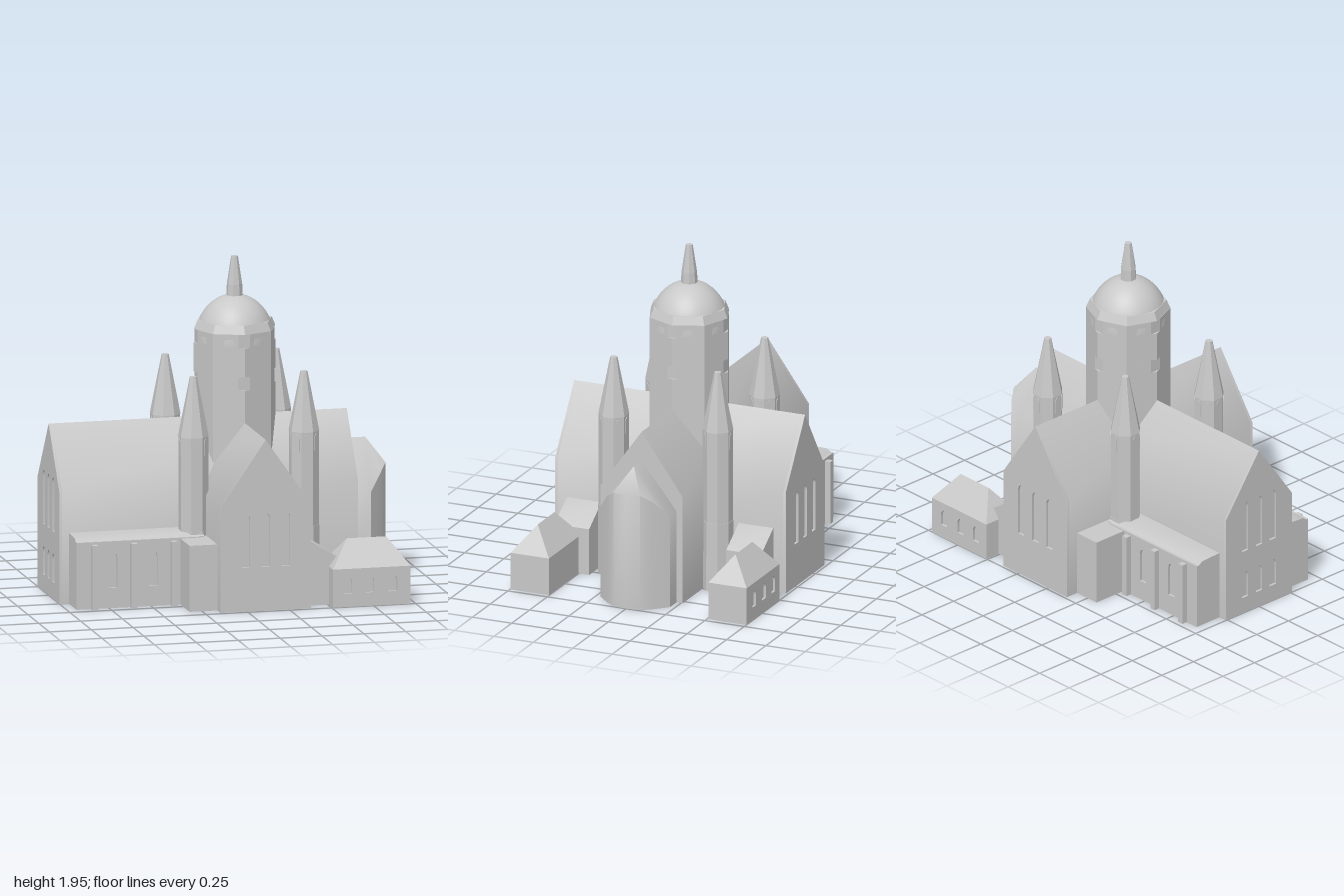
import * as THREE from 'three';
import { toCreasedNormals } from 'three/addons/utils/BufferGeometryUtils.js';

const T = 0.015; // thickness of the pierced outer walls
const CX = 0.11; // x of the crossing

export function createModel() {
  const root = new THREE.Group();
  root.name = 'church';
  const stone = new THREE.MeshStandardMaterial({ color: 0xc8c8c8 });
  stone.name = 'stone';

  const add = (name, geo, x = 0, y = 0, z = 0, ry = 0) => {
    const mesh = new THREE.Mesh(geo, stone);
    mesh.name = name;
    mesh.position.set(x, y, z);
    mesh.rotation.y = ry;
    root.add(mesh);
    return mesh;
  };
  const polygon = (pts) => new THREE.Shape(pts.map(([x, y]) => new THREE.Vector2(x, y)));
  const extrude = (shape, depth) =>
    toCreasedNormals(new THREE.ExtrudeGeometry(shape, { depth, bevelEnabled: false, curveSegments: 4 }), 0.7);
  const box = (name, x0, x1, y1, z0, z1) =>
    add(name, new THREE.BoxGeometry(x1 - x0, y1, z1 - z0), (x0 + x1) / 2, y1 / 2, (z0 + z1) / 2);
  const gable = (w, eave, ridge) => [[-w, 0], [w, 0], [w, eave], [0, ridge], [-w, eave]];

  // Pointed window opening
  const arch = (x, y0, y1, w, Type = THREE.Path) => {
    const h = w / 2, p = new Type(), spring = y1 - w * 0.75;
    p.moveTo(x - h, y0);
    p.lineTo(x + h, y0);
    p.lineTo(x + h, spring);
    p.quadraticCurveTo(x + h, y1 - w * 0.2, x, y1);
    p.quadraticCurveTo(x - h, y1 - w * 0.2, x - h, spring);
    p.closePath();
    return p;
  };
  // Wall plate pierced by windows [x, bottom, top, width]
  const wall = (name, pts, windows, x, z, ry) => {
    const shape = polygon(pts);
    windows.forEach((w) => shape.holes.push(arch(...w)));
    return add(name, extrude(shape, T), x, 0, z, ry);
  };
  const rect = (x0, x1, h) => [[x0, 0], [x1, 0], [x1, h], [x0, h]];

  // Nave and choir under one roof, with the west front
  const naveSection = gable(0.26, 0.65, 1.015);
  add('nave', extrude(polygon(naveSection), 1.78 - T), -1 + T, 0, 0, Math.PI / 2);
  wall('westFront', naveSection,
    [-0.11, 0, 0.11].flatMap((x) => [[x, 0.4, 0.72, 0.05], [x, 0.1, 0.27, 0.05]]),
    -1 + T, 0, -Math.PI / 2);

  // Transept with a pierced front at both ends
  const transeptSection = gable(0.27, 0.62, 1.01);
  add('transept', extrude(polygon(transeptSection), 1.465 - 2 * T), CX, 0, -0.735 + T);
  for (const s of [1, -1]) {
    wall('transeptFront', transeptSection,
      [-0.12, 0, 0.12].map((x) => [x, 0.26, 0.58, 0.052]),
      CX, s > 0 ? 0.73 - T : -0.735 + T, s > 0 ? 0 : Math.PI);
  }

  // Aisles: a low body with pitched edges
  const a = 0.44 - T;
  add('aisles', extrude(polygon([[-a, 0], [a, 0], [a, 0.395], [a - 0.03, 0.413], [0.25, 0.42],
    [-0.25, 0.42], [-a + 0.03, 0.413], [-a, 0.395]]), 0.765), -0.945, 0, 0, Math.PI / 2);

  for (const s of [1, -1]) {
    const ry = s > 0 ? 0 : Math.PI;
    const side = (name, x0, x1, h, z0, z1) =>
      box(name, x0, x1, h, Math.min(s * z0, s * z1), Math.max(s * z0, s * z1));

    // Aisle wall and buttresses
    wall('aisleWall', rect(-0.37, 0.37, 0.395),
      [-0.153, 0.087].map((x) => [s * x, 0.12, 0.33, 0.052]), -0.575, s * a, ry);
    for (const x of [-0.842, -0.607, -0.367]) side('buttress', x - 0.018, x + 0.018, 0.38, 0.4, 0.475);

    // Porch west of the transept
    side('porch', -0.325, -0.1, 0.39, 0.3, 0.655);

    // Lean-to passage east of the transept
    add('passage', extrude(polygon([[0.3, 0], [0.555, 0], [0.555, 0.28], [0.38, 0.39], [0.3, 0.39]]), 0.22),
      0, 0, s > 0 ? 0.435 : -0.655);

    // Annex with hipped roof
    const zc = s > 0 ? 0.625 : -0.63, hw = 0.122;
    side('annex', 0.507, 0.97, 0.225, Math.abs(zc) - hw, Math.abs(zc) + hw - T);
    wall('annexWall', rect(-0.2315, 0.2315, 0.225),
      [-0.143, -0.012, 0.127].map((x) => [s * x, 0.08, 0.18, 0.052]), 0.7385, zc + s * (hw - T), ry);
    const roof = new THREE.BoxGeometry(0.463, 0.155, hw * 2);
    const p = roof.attributes.position;
    for (let i = 0; i < p.count; i++) {
      if (p.getY(i) > 0) p.setXYZ(i, Math.sign(p.getX(i)) * 0.118, p.getY(i), 0);
    }
    add('annexRoof', toCreasedNormals(roof, 0.5), 0.7385, 0.3025, zc);

    // Corner turrets with slender spires
    for (const x of [-0.22, 0.44]) {
      const turret = new THREE.Group();
      turret.name = 'turret';
      turret.position.set(x, 0, s * 0.33);
      root.add(turret);
      [[0.091, 0.093, 0, 0.415], [0.088, 0.088, 0.415, 0.97], [0.021, 0.09, 0.97, 1.32]]
        .forEach(([top, bottom, y0, y1], i) => {
          const geo = new THREE.CylinderGeometry(top, bottom, y1 - y0, 8).rotateY(Math.PI / 8);
          const m = add(['turretBase', 'turretShaft', 'spire'][i], toCreasedNormals(geo, 0.3), 0, (y0 + y1) / 2, 0);
          turret.add(m);
        });
      for (let i = 0; i < 8; i++) {
        const t = (i * Math.PI) / 4;
        const r = 0.0805;
        turret.add(add('turretLight', extrude(arch(0, 0.86, 0.96, 0.034, THREE.Shape), 0.004),
          Math.sin(t) * r, 0, Math.cos(t) * r, t));
      }
    }
  }

  // Rounded apse: gabled roof that hips down over a polygonal plan
  const half = [[0.75, 0.22, 0.56], [0.87, 0.22, 0.56], [0.95, 0.14, 0.66], [0.99, 0.085, 0.7]];
  const plan = [...half, [1, 0, 0.69], ...half.map(([x, z, y]) => [x, -z, y]).reverse()];
  const tri = [];
  for (let i = 0; i < plan.length - 1; i++) {
    const [x0, z0, y0] = plan[i], [x1, z1, y1] = plan[i + 1];
    tri.push(x0, 0, z0, x1, 0, z1, x1, y1, z1, x0, 0, z0, x1, y1, z1, x0, y0, z0); // wall
    tri.push(x0, y0, z0, x1, y1, z1, 0.89, 0.84, 0); // roof
    tri.push(0.75, 0, 0, x1, 0, z1, x0, 0, z0); // floor
  }
  tri.push(0.75, 0.56, 0.22, 0.89, 0.84, 0, 0.75, 0.84, 0);
  tri.push(0.75, 0.56, -0.22, 0.75, 0.84, 0, 0.89, 0.84, 0);
  const apse = new THREE.BufferGeometry();
  apse.setAttribute('position', new THREE.Float32BufferAttribute(tri, 3));
  add('apse', toCreasedNormals(apse, 0.75));

  // Octagonal drum, its four main corners notched at two levels
  const drumPlan = (cut) => {
    const pts = [];
    for (let i = 0; i < 8; i++) {
      const t = (i * Math.PI) / 4;
      const spread = cut && i % 2 === 0 ? [-1, 1] : [0];
      for (const k of spread) {
        const r = 0.245 - Math.abs(k) * 0.014, w = k * 0.034;
        pts.push([Math.cos(t) * r - Math.sin(t) * w, Math.sin(t) * r + Math.cos(t) * w]);
      }
    }
    return polygon(pts);
  };
  [[0.6, 1.2, 0], [1.2, 1.28, 1], [1.28, 1.45, 0], [1.45, 1.53, 1]].forEach(([y0, y1, cut]) => {
    const geo = new THREE.ExtrudeGeometry(drumPlan(cut), { depth: y1 - y0, bevelEnabled: false });
    add('drum', geo.rotateX(-Math.PI / 2), CX, y0, 0);
  });
  add('drumCornice', toCreasedNormals(new THREE.CylinderGeometry(0.222, 0.243, 0.05, 8).rotateY(Math.PI / 2), 0.3),
    CX, 1.555, 0);

  // Dome and lantern
  const profile = [];
  for (let i = 0; i <= 14; i++) {
    const t = (i / 14) * Math.PI / 2;
    profile.push(new THREE.Vector2(Math.max(0, 0.23 * Math.cos(t)), 1.46 + 0.265 * Math.sin(t)));
  }
  add('dome', new THREE.LatheGeometry(profile, 40), CX, 0, 0);
  add('lantern', toCreasedNormals(new THREE.CylinderGeometry(0.045, 0.049, 0.08, 8).rotateY(Math.PI / 8), 0.3), CX, 1.745, 0);
  add('lanternSpire', toCreasedNormals(new THREE.CylinderGeometry(0.02, 0.045, 0.165, 8).rotateY(Math.PI / 8), 0.3), CX, 1.8675, 0);

  return root;
}
